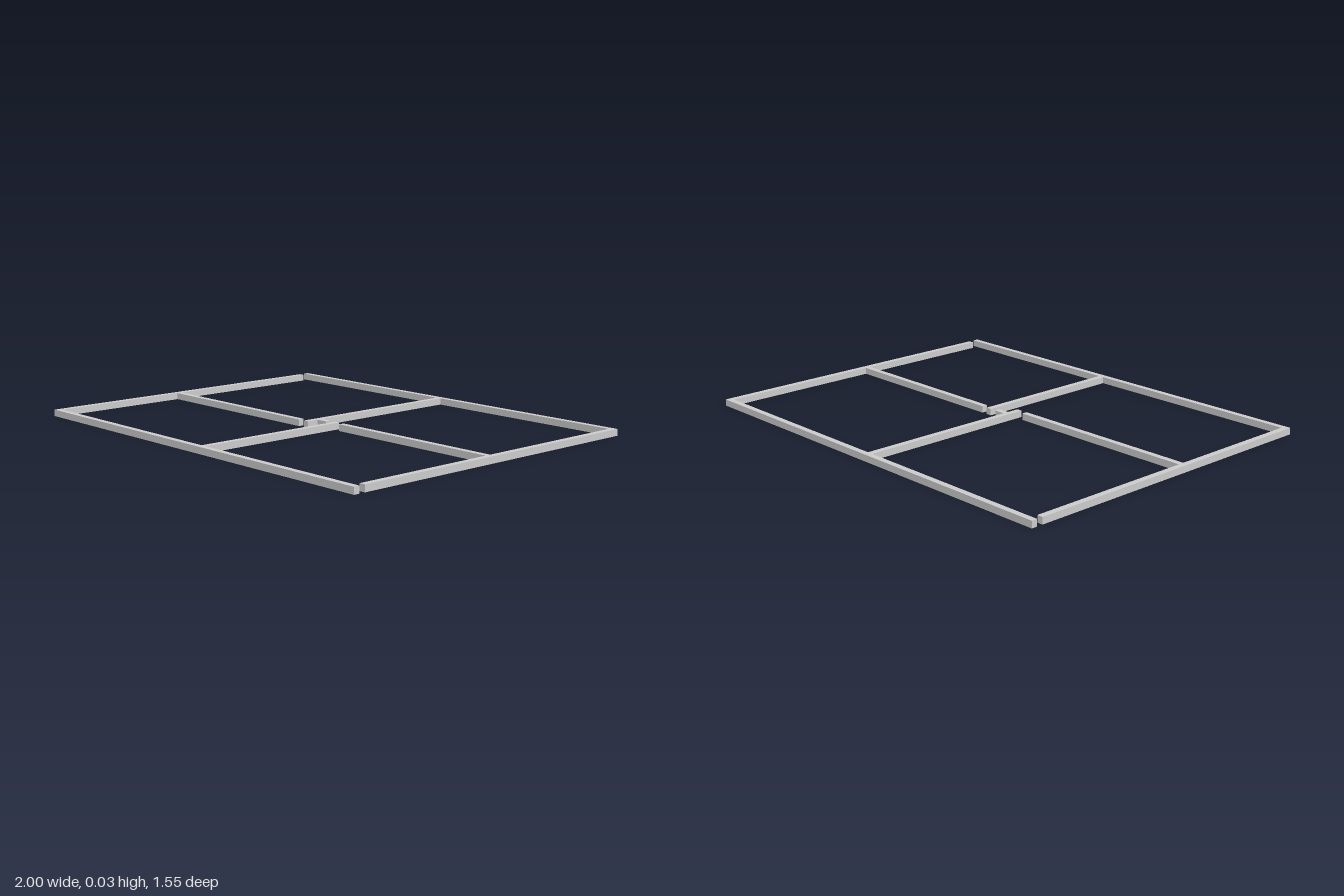
import * as THREE from 'three';

const HEIGHT = 0.03;

// Plan of the low walls: name, x from, x to, z from, z to
const WALLS = [
  ['backWall', -1, 1, -0.773, -0.746],
  ['frontWall', -1, 1, 0.746, 0.773],
  ['leftWall', 0.973, 1, -0.746, 0.719],
  ['rightWall', -1, -0.973, -0.719, 0.746],
  ['backPartition', -0.04, -0.013, -0.746, 0.098],
  ['frontPartition', 0.071, 0.098, 0.013, 0.746],
  ['leftPartition', 0.126, 0.973, 0.013, 0.04],
  ['rightPartition', -0.973, -0.072, 0.071, 0.098],
  ['partitionStub', -0.013, 0.04, 0.013, 0.04],
];

export function createModel() {
  const model = new THREE.Group();
  model.name = 'floorPlanWalls';
  const material = new THREE.MeshStandardMaterial({ color: 0xcccccc });

  // One box per wall, standing on the ground
  for (const [name, x0, x1, z0, z1] of WALLS) {
    const wall = new THREE.Mesh(new THREE.BoxGeometry(x1 - x0, HEIGHT, z1 - z0), material);
    wall.name = name;
    wall.position.set((x0 + x1) / 2, HEIGHT / 2, (z0 + z1) / 2);
    model.add(wall);
  }
  return model;
}
